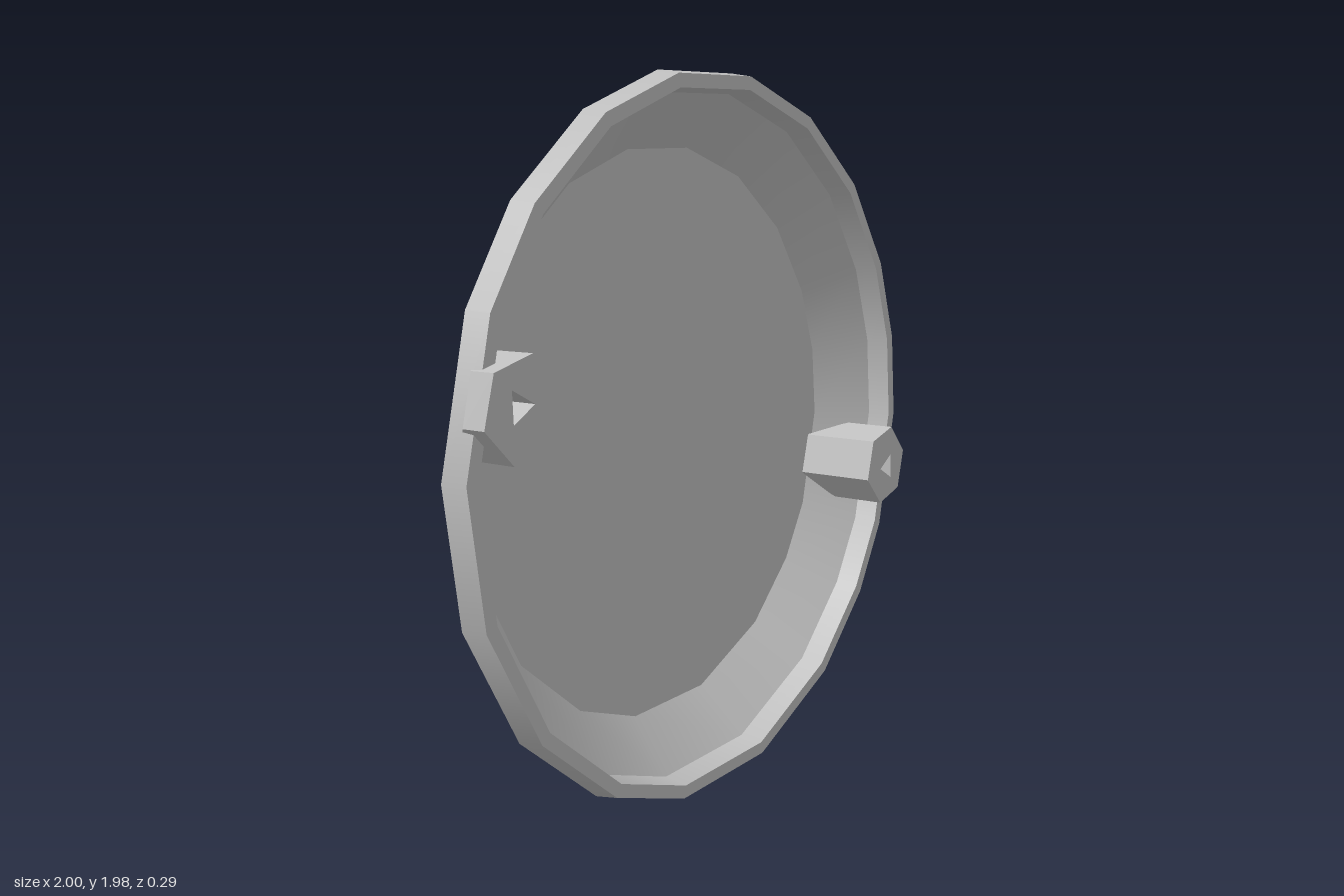
import * as THREE from 'three';
import { mergeGeometries } from 'three/addons/utils/BufferGeometryUtils.js';

const rad = THREE.MathUtils.degToRad;
// corner directions of the faceted dish; the two 22 degree sectors carry the screw holes
const angles = [-24, -2, 13, 28, 46, 65, 84, 103, 121, 140, 156, 178, 198, 219, 240, 258, 281, 304, 322];
const holeSectors = [0, 10];
const OUTER = [0.805, -0.147, 1.0, 0.035];   // r0, z0, r1, z1
const INNER = [0.805, -0.1, 0.945, 0.03];

const polar = (r, deg, cx = 0, cy = 0) =>
  new THREE.Vector2(cx + r * Math.cos(rad(deg)), cy + r * Math.sin(rad(deg)));
const ringPoints = (r) => angles.map((a) => polar(r, a));

// height of the flat facet between directions a0 and a1
function planeZ(x, y, a0, a1, [r0, z0, r1, z1]) {
  const mid = rad((a0 + a1) / 2), c = Math.cos(rad((a1 - a0) / 2));
  const d = x * Math.cos(mid) + y * Math.sin(mid);
  return z0 + (d - r0 * c) / ((r1 - r0) * c) * (z1 - z0);
}

function flip(geo) {
  const index = geo.index.array;
  for (let i = 0; i < index.length; i += 3) [index[i], index[i + 1]] = [index[i + 1], index[i]];
}

// ring of trapezoid facets with smooth cone normals, optionally pierced
function band(profile, facesFront, hole) {
  const [r0, z0, r1, z1] = profile;
  const len = Math.hypot(z1 - z0, r1 - r0), s = facesFront ? 1 : -1;
  const nr = -s * (z1 - z0) / len, nz = s * (r1 - r0) / len;
  return mergeGeometries(angles.map((a0, i) => {
    const a1 = i + 1 < angles.length ? angles[i + 1] : angles[0] + 360;
    const shape = new THREE.Shape([polar(r0, a0), polar(r1, a0), polar(r1, a1), polar(r0, a1)]);
    const k = holeSectors.indexOf(i);
    if (hole && k >= 0) {
      shape.holes.push(new THREE.Path(hole.map((p) => (k ? p.clone().negate() : p.clone()))));
    }
    const geo = new THREE.ShapeGeometry(shape);
    const pos = geo.attributes.position, nor = geo.attributes.normal;
    for (let v = 0; v < pos.count; v++) {
      const x = pos.getX(v), y = pos.getY(v), t = Math.atan2(y, x);
      pos.setZ(v, planeZ(x, y, a0, a1, profile));
      nor.setXYZ(v, nr * Math.cos(t), nr * Math.sin(t), nz);
    }
    if (!facesFront) flip(geo);
    return geo;
  }));
}

function disc(r, z, facesFront) {
  const geo = new THREE.ShapeGeometry(new THREE.Shape(ringPoints(r)));
  if (!facesFront) {
    flip(geo);
    geo.attributes.normal.array.forEach((n, i, arr) => { arr[i] = -n; });
  }
  return geo.translate(0, 0, z);
}

export function createModel() {
  const model = new THREE.Group();
  const grey = new THREE.MeshStandardMaterial({ color: 0xc0c0c0, side: THREE.DoubleSide });
  grey.name = 'plain grey';
  const add = (parent, name, geo) => {
    const mesh = new THREE.Mesh(geo, grey);
    mesh.name = name;
    parent.add(mesh);
  };

  // screw hole outlines: triangle in front, wider pentagon behind
  const c3 = polar(0.885, -13), c5 = polar(0.895, -13);
  const triangle = [60, 180, 305].map((a) => polar(0.046, a, c3.x, c3.y));
  const pentagon = [30, 102, 174, 246, 318].map((a) => polar(0.072, a, c5.x, c5.y));

  const dish = new THREE.Group();
  dish.name = 'dish';
  dish.position.y = 1;
  model.add(dish);
  add(dish, 'backPanel', disc(OUTER[0], OUTER[1], false));
  add(dish, 'floor', disc(INNER[0], INNER[1], true));
  add(dish, 'outerWall', band(OUTER, false, pentagon));
  add(dish, 'innerWall', band(INNER, true, triangle));
  add(dish, 'outerLip', band([0.988, 0.1, 1.0, 0.035], true));
  add(dish, 'rim', band([0.952, 0.1, 0.988, 0.1], true));
  add(dish, 'innerLip', band([0.945, 0.03, 0.952, 0.1], true));

  // hexagonal boss with its back cut to follow the inner wall
  const hexagon = new THREE.Shape([15, 75, 135, 195, 255, 315].map((a) => polar(0.126, a, 0.853, -0.19)));
  hexagon.holes.push(new THREE.Path(triangle));
  const boss = new THREE.ExtrudeGeometry(hexagon, { depth: 0.145, bevelEnabled: false });
  const pos = boss.attributes.position;
  for (let v = 0; v < pos.count; v++) {
    if (pos.getZ(v) > 0.07) continue;
    pos.setZ(v, Math.max(-0.1, planeZ(pos.getX(v), pos.getY(v), angles[0], angles[1], INNER)) - 0.004);
  }
  boss.computeVertexNormals();

  // tapered recess joining the pentagon to the triangle
  const onWall = (p, wall) => [p.x, p.y, planeZ(p.x, p.y, angles[0], angles[1], wall)];
  const nearest = (p) => triangle.reduce((a, b) => (p.distanceTo(b) < p.distanceTo(a) ? b : a));
  const corners = [];
  pentagon.forEach((p, i) => {
    const q = pentagon[(i + 1) % 5], tp = nearest(p), tq = nearest(q);
    corners.push(...onWall(p, OUTER), ...onWall(tq, INNER), ...onWall(q, OUTER));
    if (tp !== tq) corners.push(...onWall(p, OUTER), ...onWall(tp, INNER), ...onWall(tq, INNER));
  });
  const recess = new THREE.BufferGeometry();
  recess.setAttribute('position', new THREE.Float32BufferAttribute(corners, 3));
  recess.computeVertexNormals();

  ['leftScrewBoss', 'rightScrewBoss'].forEach((name, i) => {
    const group = new THREE.Group();
    group.name = name;
    group.rotation.z = i * Math.PI;
    add(group, 'boss', boss);
    add(group, 'screwRecess', recess);
    dish.add(group);
  });
  return model;
}
